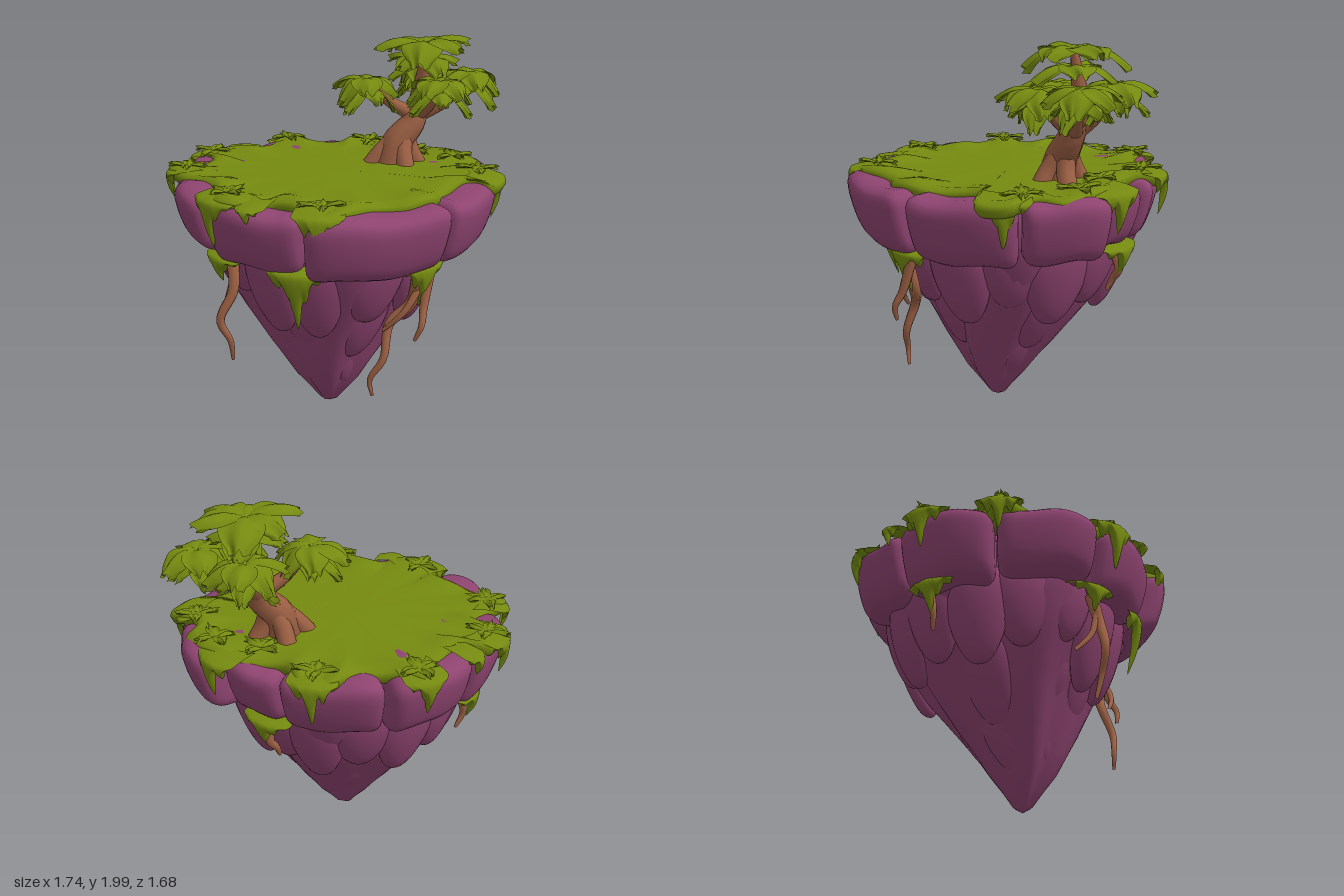
import * as THREE from 'three';
import { mergeVertices, mergeGeometries } from 'three/addons/utils/BufferGeometryUtils.js';

const DEG = Math.PI / 180;
const { lerp, clamp, smoothstep } = THREE.MathUtils;
const V = (a) => new THREE.Vector3(...a);
const polar = (deg, r, y) => new THREE.Vector3(r * Math.cos(deg * DEG), y, r * Math.sin(deg * DEG));

// Moves every vertex by a rule, then welds and smooths the result
function reshape(geo, rule) {
  const p = geo.attributes.position, v = new THREE.Vector3();
  for (let i = 0; i < p.count; i++) {
    v.fromBufferAttribute(p, i);
    const o = rule(v);
    p.setXYZ(i, o.x, o.y, o.z);
  }
  geo.deleteAttribute('uv');
  geo.deleteAttribute('normal');
  const out = mergeVertices(geo, 1e-4);
  out.computeVertexNormals();
  return out;
}

// Smooth sheet from a rule of u, v in 0..1
const sheet = (nu, nv, rule) => reshape(new THREE.PlaneGeometry(1, 1, nu, nv),
  (p) => rule(clamp(p.x + 0.5, 0, 1), clamp(p.y + 0.5, 0, 1)));

// Tapering tube along a curve
function taper(points, r0, r1, flare = 1) {
  const curve = new THREE.CatmullRomCurve3(points.map(V)), n = 24, radial = 9;
  const geo = new THREE.TubeGeometry(curve, n, 1, radial);
  const p = geo.attributes.position, v = new THREE.Vector3();
  for (let i = 0; i < p.count; i++) {
    const t = Math.floor(i / (radial + 1)) / n, c = curve.getPointAt(t);
    v.fromBufferAttribute(p, i).sub(c).multiplyScalar(lerp(r1, r0, Math.pow(1 - t, flare))).add(c);
    p.setXYZ(i, v.x, v.y, v.z);
  }
  return geo;
}

// Rounded wall stone, bent between two angles
function stone(a0, a1, rOut, y0, y1) {
  const mid = (a0 + a1) / 2, half = (a1 - a0) / 2, arc = half * DEG * rOut;
  const size = new THREE.Vector3(arc, (y1 - y0) / 2, 0.2), round = 0.075;
  return reshape(new THREE.BoxGeometry(2, 2, 2, 18, 12, 10), (v) => {
    v.multiply(size);
    const core = v.clone();
    for (const k of ['x', 'y', 'z']) core[k] = clamp(v[k], -size[k] + round, size[k] - round);
    const d = v.clone().sub(core);
    if (d.lengthSq() > 0) core.add(d.setLength(round));
    const low = 0.5 - core.y / (2 * size.y), u = core.x / arc;
    const r = rOut - 0.2 + core.z - 0.09 * low * low + 0.015 * Math.sin(3 * u + mid);
    return polar(mid - half * u, r, (y0 + y1) / 2 + core.y + 0.012 * Math.sin(4 * u + mid));
  });
}

// Hanging rock lobe with a pointed tip
function lobe(deg, y0, y1, r0, r1, w, depth, cx = 0, cz = 0) {
  return reshape(new THREE.SphereGeometry(1, 20, 18), (v) => {
    const t = clamp((1 - v.y) / 2, 0, 1), fat = Math.pow(Math.max(0.02, 1 - v.y * v.y), -0.15);
    const x = v.x * fat * w * (1.1 - 0.45 * t * t), z = v.z * fat * depth * (1 - 0.3 * t);
    const a = deg * DEG, r = lerp(r0, r1, Math.pow(t, 1.4)) + z;
    return new THREE.Vector3(cx * t + r * Math.cos(a) + x * Math.sin(a), lerp(y0, y1, t), cz * t + r * Math.sin(a) - x * Math.cos(a));
  });
}

// Grass tongue: runs out over the edge, then hangs in drips
function drape(deg, w, yTop, len, r, slope) {
  return sheet(26, 14, (u, v) => {
    const s = u * 2 - 1, k = 1 - v;
    const drip = Math.max(Math.exp(-((s / 0.3) ** 2)), 0.38 + 0.16 * Math.cos(10 * s + deg)) * (1 - 0.75 * Math.abs(s) ** 3);
    const down = Math.max(0, (k - 0.3) / 0.7), out = Math.min(1, k / 0.3);
    const bulge = 0.035 * (1 - s * s) * (1 - 0.5 * down);
    const y = yTop - 0.02 * out * out - len * drip * down;
    const rr = r - 0.16 * (1 - out) + bulge - 0.015 * Math.abs(s) - slope * len * drip * down + 0.02 * Math.sin(Math.PI * down);
    return polar(deg + s * (w / r) / DEG * (1 - 0.25 * down), rr, y);
  });
}

// Broad drooping leaf with a creased middle and a ragged end
function leaf(deg, L, W, lift, droop) {
  const a = deg * DEG;
  return sheet(10, 12, (u, v) => {
    const s = u * 2 - 1;
    const w = W * (0.15 + 0.85 * Math.pow(Math.sin(Math.PI * Math.min(0.93, Math.pow(v, 1.25))), 0.7));
    const x = L * v * (1 - 0.1 * s * s) + 0.015 * v * v * Math.sin(9 * s + deg);
    const y = lift * v - droop * v * v - 0.3 * W * s * s * v + 0.012 * Math.cos(6 * s) * v;
    const z = s * w;
    return new THREE.Vector3(x * Math.cos(a) - z * Math.sin(a), y, x * Math.sin(a) + z * Math.cos(a));
  });
}

function rosette([x, y, z], n, L, W, lift, droop, turn) {
  const leaves = [];
  for (let i = 0; i < n; i++) {
    const size = 1 + 0.12 * Math.sin(i * 2.3 + turn);
    leaves.push(leaf(turn + i * 360 / n, L * size, W, lift, droop * (1 + 0.25 * Math.sin(i * 4 + turn))));
  }
  return mergeGeometries(leaves).translate(x, y, z);
}

export function createModel() {
  const model = new THREE.Group();
  model.name = 'floatingIsland';
  const rock = new THREE.MeshStandardMaterial({ name: 'purple rock', color: 0x8e4470 });
  const grass = new THREE.MeshStandardMaterial({ name: 'moss green', color: 0x758a10, side: THREE.DoubleSide });
  const bark = new THREE.MeshStandardMaterial({ name: 'brown bark', color: 0x9c6044 });
  const add = (name, geo, mat) => {
    const m = new THREE.Mesh(geo, mat);
    m.name = name;
    model.add(m);
  };

  // Rock core: a ridged cone with an off-centre tip
  const profile = [[0, 0], [0.05, 0.03], [0.1, 0.1], [0.17, 0.19], [0.23, 0.29], [0.3, 0.4], [0.37, 0.52], [0.43, 0.62],
    [0.52, 0.78], [0.6, 0.95], [0.63, 1.1], [0.62, 1.27], [0, 1.28]];
  add('rockCore', reshape(new THREE.LatheGeometry(profile.map((p) => new THREE.Vector2(...p)), 72), (v) => {
    const a = Math.atan2(v.z, v.x), low = 1 - smoothstep(v.y, 0.1, 0.8);
    const k = 1 + 0.08 * Math.sin(5 * a + 1 + v.y * 3) + 0.03 * Math.sin(9 * a);
    return new THREE.Vector3(v.x * k + 0.04 * low, v.y, v.z * k + 0.08 * low);
  }), rock);

  // Ring of wall stones: start angle, end angle, radius, bottom, top
  [[70, 111, 0.81, 0.97, 1.3], [15, 68, 0.87, 0.96, 1.3], [-27, 14, 0.86, 0.96, 1.3], [-59, -28, 0.88, 0.98, 1.31],
    [-86, -60, 0.77, 0.99, 1.3], [-128, -87, 0.77, 0.97, 1.3], [-167, -129, 0.81, 0.98, 1.31],
    [-207, -168, 0.82, 0.96, 1.31], [113, 152, 0.83, 1.0, 1.31],
  ].forEach((s) => add('wallStone', stone(...s), rock));

  // Upper lobes: angle, bottom, half width, tip radius
  [[92, 0.56, 0.15, 0.45], [66, 0.56, 0.15, 0.46], [116, 0.75, 0.14, 0.52], [139, 0.7, 0.16, 0.5], [163, 0.61, 0.16, 0.5],
    [189, 0.66, 0.16, 0.5], [214, 0.6, 0.16, 0.47], [239, 0.68, 0.16, 0.48], [263, 0.58, 0.15, 0.45], [287, 0.66, 0.16, 0.47],
    [312, 0.58, 0.17, 0.46], [337, 0.69, 0.15, 0.49], [4, 0.58, 0.17, 0.47], [37, 0.64, 0.17, 0.48],
  ].forEach(([a, y, w, r]) => add('upperLobe', lobe(a, 1.12, y, 0.575, r, w, 0.1), rock));

  // Middle and lower lobes
  for (let i = 0; i < 8; i++) add('middleLobe', lobe(i * 45 + 33, 0.88, 0.37 + 0.04 * (i % 3), 0.43, 0.25, 0.15, 0.09, 0.03, 0.05), rock);
  for (let i = 0; i < 5; i++) add('lowerLobe', lobe(i * 72 + 18, 0.55, 0.17 + 0.03 * (i % 2), 0.24, 0.13, 0.12, 0.07, 0.035, 0.08), rock);

  // Grass cap with an uneven outline
  const outline = new THREE.CatmullRomCurve3([[0.05, -0.65], [-0.07, -0.75], [-0.15, -0.76], [-0.25, -0.71], [-0.29, -0.61],
    [-0.47, -0.52], [-0.64, -0.52], [-0.62, -0.3], [-0.68, -0.14], [-0.82, -0.07], [-0.8, 0.08], [-0.67, 0.15], [-0.7, 0.3],
    [-0.76, 0.42], [-0.65, 0.47], [-0.48, 0.52], [-0.31, 0.6], [-0.27, 0.72], [-0.15, 0.79], [0, 0.76], [0.06, 0.67],
    [0.25, 0.68], [0.39, 0.77], [0.48, 0.62], [0.52, 0.46], [0.65, 0.35], [0.71, 0.2], [0.69, 0.03], [0.72, -0.17], [0.84, -0.2],
    [0.84, -0.38], [0.65, -0.43], [0.64, -0.56], [0.5, -0.65], [0.28, -0.7]].map(([x, z]) => new THREE.Vector3(x, 0, z)), true);
  const rings = [[0, 1.325], [0.4, 1.325], [0.7, 1.32], [0.85, 1.33], [0.94, 1.335], [0.99, 1.32], [1, 1.295], [0.98, 1.26], [0.9, 1.24]];
  add('grassCap', sheet(180, rings.length - 1, (u, v) => {
    const [s, y] = rings[Math.round((1 - v) * (rings.length - 1))], p = outline.getPoint(u % 1);
    const wave = s > 0.8 ? 0.012 * Math.sin(u * 28 * Math.PI) : 0;
    return new THREE.Vector3(p.x * s, y + wave, p.z * s);
  }), grass);

  // Grass tongues over the stones: angle, half width, length, radius
  [[105, 0.15, 0.24, 0.8], [63, 0.13, 0.24, 0.84], [178, 0.13, 0.2, 0.84], [-22, 0.14, 0.22, 0.86], [-101, 0.13, 0.22, 0.78],
    [-141, 0.12, 0.18, 0.82], [-62, 0.14, 0.2, 0.83], [151, 0.12, 0.16, 0.84], [88, 0.08, 0.07, 0.8], [-165, 0.07, 0.1, 0.8],
  ].forEach(([a, w, len, r]) => add('grassTongue', drape(a, w, 1.335, len, r, 0.12), grass));

  // Moss under the stones: angle, half width, length, radius
  [[110, 0.15, 0.13, 0.71], [73, 0.16, 0.31, 0.71], [21, 0.15, 0.22, 0.74], [-77, 0.15, 0.15, 0.69], [180, 0.15, 0.16, 0.71],
  ].forEach(([a, w, len, r]) => add('hangingMoss', drape(a, w, 1.01, len, r, 0.25), grass));

  // Tufts along the rim
  [[178, 0.76], [-141, 0.74], [-101, 0.68], [-28, 0.78], [-50, 0.72], [105, 0.7], [150, 0.76], [62, 0.72], [-70, 0.6]].forEach(([a, r]) =>
    add('rimTuft', rosette(polar(a, r, 1.335).toArray(), 4, 0.1, 0.035, 0.05, 0.04, a), grass));

  // Trunk, feet and branches
  add('trunk', taper([[0.2, 1.3, -0.33], [0.21, 1.42, -0.36], [0.27, 1.53, -0.43], [0.28, 1.66, -0.48], [0.3, 1.8, -0.48], [0.31, 1.95, -0.46]], 0.1, 0.02), bark);
  [[0.1, -0.26], [0.3, -0.29], [0.3, -0.43], [0.13, -0.43]].forEach(([x, z]) =>
    add('trunkFoot', taper([[x, 1.3, z], [lerp(x, 0.22, 0.4), 1.38, lerp(z, -0.37, 0.4)], [0.24, 1.5, -0.4]], 0.05, 0.045), bark));
  const crowns = [[0.07, 1.77, -0.26], [0.46, 1.78, -0.34], [0.52, 1.8, -0.58], [0.23, 1.8, -0.64]];
  crowns.forEach(([x, y, z]) => add('branch', taper([[0.27, 1.56, -0.45], [lerp(0.28, x, 0.6), 1.65, lerp(-0.46, z, 0.55)], [x, y, z]], 0.045, 0.015), bark));

  // Leaf crowns
  crowns.forEach((c, i) => {
    add('leafCrown', rosette(c, 6, 0.185, 0.085, 0.09, 0.16, i * 25), grass);
    add('leafCrownLower', rosette([c[0], c[1] - 0.06, c[2]], 5, 0.15, 0.06, 0.05, 0.13, i * 25 + 30), grass);
  });
  add('topLeafCrown', rosette([0.31, 1.955, -0.46], 6, 0.25, 0.11, 0.13, 0.17, 10), grass);
  add('topLeafCrownLower', rosette([0.31, 1.88, -0.46], 5, 0.2, 0.09, 0.08, 0.12, 40), grass);

  // Hanging roots: path, start thickness
  [[[[0.67, 0.97, 0.28], [0.62, 0.78, 0.26], [0.53, 0.67, 0.31], [0.53, 0.5, 0.37], [0.47, 0.38, 0.4], [0.48, 0.29, 0.39]], 0.035],
    [[[0.7, 0.97, 0.22], [0.7, 0.78, 0.28], [0.71, 0.7, 0.32], [0.68, 0.62, 0.33]], 0.03],
    [[[0.68, 0.92, 0.24], [0.62, 0.76, 0.33], [0.52, 0.65, 0.36]], 0.022],
    [[[-0.2, 0.97, 0.62], [-0.18, 0.82, 0.65], [-0.23, 0.66, 0.7], [-0.2, 0.54, 0.66], [-0.21, 0.42, 0.63]], 0.032],
    [[[-0.19, 0.86, 0.64], [-0.24, 0.74, 0.63], [-0.32, 0.64, 0.58]], 0.018],
    [[[0.13, 0.97, -0.62], [0.14, 0.87, -0.65], [0.12, 0.8, -0.61], [0.12, 0.74, -0.58]], 0.032],
    [[[-0.66, 0.96, -0.03], [-0.67, 0.85, 0], [-0.64, 0.76, -0.02]], 0.025],
  ].forEach(([path, r]) => add('hangingRoot', taper(path, r, 0.008, 0.7), bark));

  return model;
}
